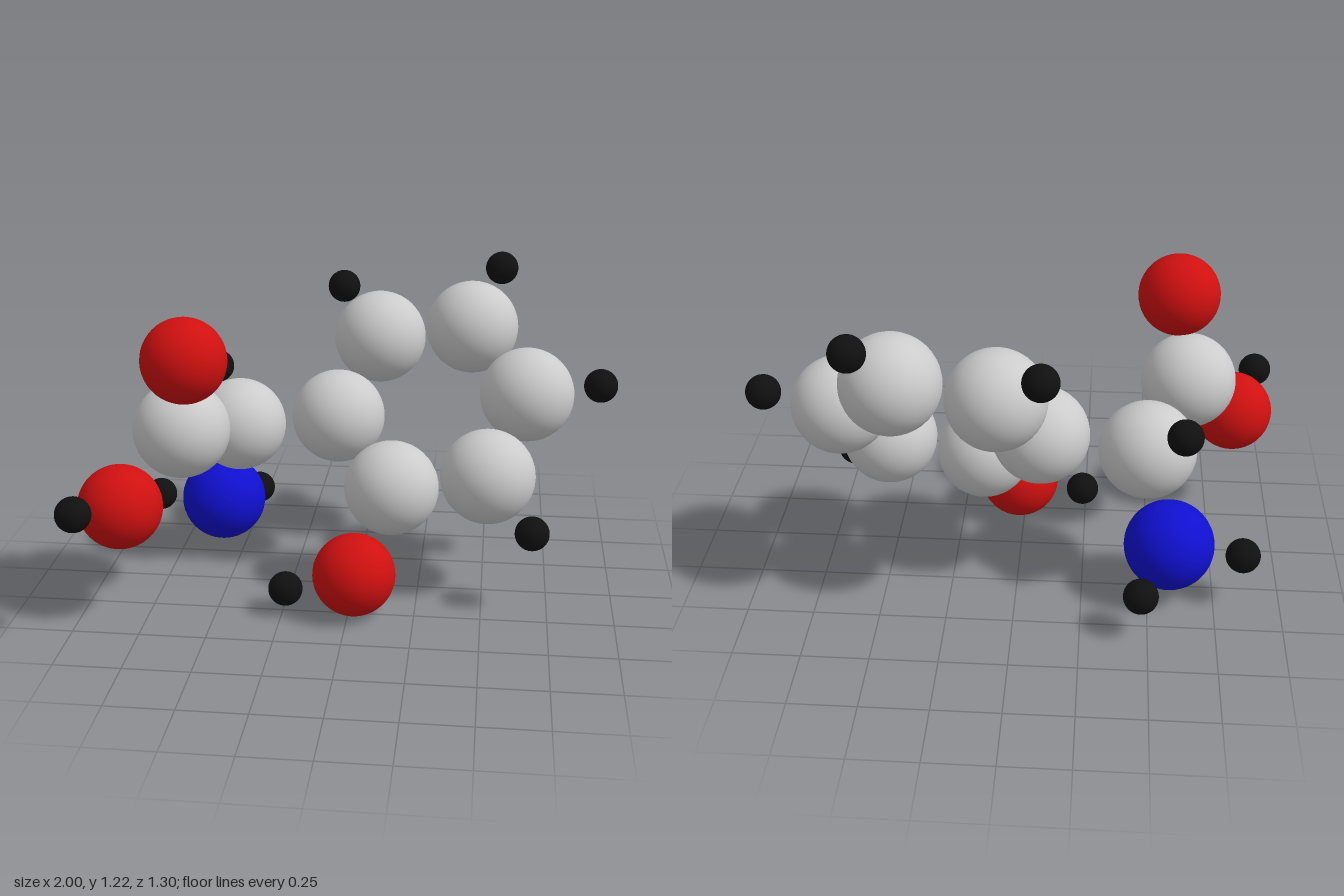
import * as THREE from 'three';

// Atom kinds: radius and colour
const KINDS = {
  carbon: { radius: 0.182, color: 0xcccccc },
  oxygen: { radius: 0.157, color: 0xd01010 },
  nitrogen: { radius: 0.17, color: 0x1010d0 },
  hydrogen: { radius: 0.065, color: 0x101010 },
};

// Atom centres, grouped by the part of the molecule they belong to
const PARTS = {
  ring: [
    ['carbon', 0.06, 0.905, -0.417],
    ['carbon', 0.427, 0.955, -0.418],
    ['carbon', 0.65, 0.747, -0.213],
    ['carbon', 0.51, 0.485, 0.003],
    ['carbon', 0.143, 0.427, 0.013],
    ['carbon', -0.085, 0.638, -0.2],
    ['hydrogen', -0.103, 1.067, -0.58],
    ['hydrogen', 0.537, 1.157, -0.585],
    ['hydrogen', 0.932, 0.79, -0.218],
    ['hydrogen', 0.683, 0.325, 0.162],
  ],
  hydroxyl: [
    ['oxygen', 0.021, 0.16, 0.238],
    ['hydrogen', -0.237, 0.1, 0.262],
  ],
  linkingCarbon: [
    ['carbon', -0.48, 0.589, -0.2],
    ['hydrogen', -0.603, 0.765, -0.398],
  ],
  amine: [
    ['nitrogen', -0.575, 0.229, -0.292],
    ['hydrogen', -0.85, 0.217, -0.328],
    ['hydrogen', -0.47, 0.175, -0.545],
  ],
  carboxyl: [
    ['carbon', -0.635, 0.689, 0.157],
    ['oxygen', -0.588, 0.995, 0.276],
    ['oxygen', -0.833, 0.448, 0.349],
    ['hydrogen', -0.937, 0.513, 0.585],
  ],
};

export function createModel() {
  const model = new THREE.Group();
  model.name = 'molecule';

  // One shared sphere and material per kind of atom
  const shared = {};
  for (const [kind, { radius, color }] of Object.entries(KINDS)) {
    shared[kind] = {
      geometry: new THREE.SphereGeometry(radius, 40, 24),
      material: new THREE.MeshStandardMaterial({ color }),
    };
  }

  for (const [partName, atoms] of Object.entries(PARTS)) {
    const part = new THREE.Group();
    part.name = partName;
    for (const [kind, x, y, z] of atoms) {
      const atom = new THREE.Mesh(shared[kind].geometry, shared[kind].material);
      atom.name = kind + 'Atom';
      atom.position.set(x, y, z);
      part.add(atom);
    }
    model.add(part);
  }
  return model;
}
